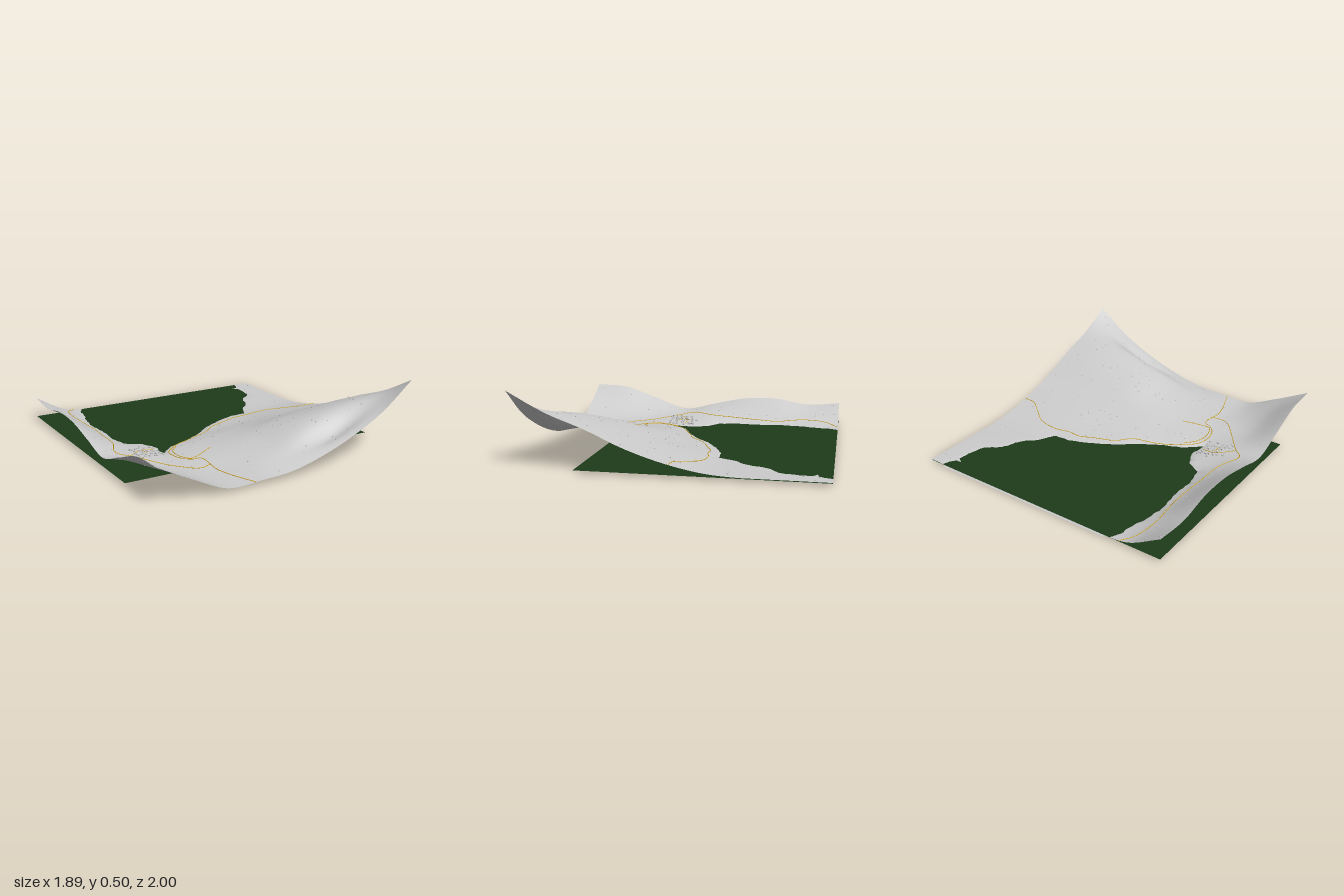
import * as THREE from 'three';
import { mergeGeometries } from 'three/addons/utils/BufferGeometryUtils.js';

const HALF_X = 0.943, WATER = 0.016;

// coarse land heights: rows run from z = -1 to 1, columns from -x to +x
const LAND = [
  [.16, .035, .02, .02, .02, .02, .02, .02, .02],
  [.14, .04, .02, .02, .02, .02, .02, .02, .02],
  [.18, .04, .02, .02, .02, .02, .02, .02, .02],
  [.175, .045, .02, .02, .02, .02, .025, .03, .035],
  [.125, .05, .03, .025, .035, .05, .07, .08, .085],
  [.075, .05, .035, .055, .09, .12, .14, .155, .165],
  [.155, .05, .035, .065, .125, .2, .24, .265, .275],
  [.24, .09, .03, .05, .11, .21, .285, .335, .37],
  [.255, .135, .033, .035, .05, .11, .2, .32, .5],
];

// shoreline of the lake as x, z pairs
const SHORE = [[-.57, -1.15], [-.58, -1], [-.62, -.92], [-.62, -.85], [-.66, -.72], [-.68, -.55], [-.66, -.4],
  [-.67, -.2], [-.64, -.07], [-.54, -.01], [-.49, .1], [-.51, .24], [-.45, .19], [-.4, .14], [-.25, .08],
  [-.1, 0], [0, -.09], [.2, -.2], [.33, -.25], [.45, -.25], [.52, -.38], [.6, -.45], [.66, -.6],
  [.76, -.67], [.79, -.8], [.79, -.88], [.73, -.92], [.8, -.91], [.84, -1], [.85, -1.15]];

// cubic interpolation along a row of evenly spaced values, t from 0 to 1
function cubic(v, t) {
  const n = v.length - 1, s = Math.min(Math.max(t, 0), 1) * n;
  const i = Math.min(Math.floor(s), n - 1), f = s - i;
  const b = v[i], c = v[i + 1];
  const a = i > 0 ? v[i - 1] : 2 * b - c;
  const d = i < n - 1 ? v[i + 2] : 2 * c - b;
  return b + 0.5 * f * (c - a + f * (2 * a - 5 * b + 4 * c - d + f * (3 * (b - c) + d - a)));
}

// distance to the shore, negative inside the lake
function shoreDistance(x, z) {
  let best = Infinity, inside = false;
  SHORE.forEach(([ax, az], i) => {
    const [bx, bz] = SHORE[(i + 1) % SHORE.length];
    const dx = bx - ax, dz = bz - az;
    const t = THREE.MathUtils.clamp(((x - ax) * dx + (z - az) * dz) / (dx * dx + dz * dz), 0, 1);
    best = Math.min(best, Math.hypot(x - ax - dx * t, z - az - dz * t));
    if ((az > z) !== (bz > z) && x < ax + (z - az) / dz * dx) inside = !inside;
  });
  return inside ? -best : best;
}

function heightAt(x, z) {
  const d = shoreDistance(x, z) + 0.004 * Math.sin(x * 47 + z * 23) * Math.sin(z * 61 - x * 19);
  if (d < 0) return WATER * (1 - Math.min(-d / 0.04, 1));
  const u = (x + HALF_X) / (2 * HALF_X), v = (z + 1) / 2;
  let land = cubic(LAND.map((row) => cubic(row, u)), v);
  // gully in front of the ridge
  land -= 0.055 * Math.exp(-(((x - 0.42) / 0.24) ** 2) - ((z - 0.87) / 0.07) ** 2);
  return WATER + (Math.max(land, 0.021) - WATER) * (1 - Math.exp(-d / 0.04));
}

// thin line laid over the ground through x, z pairs
function roadGeometry(points) {
  const flat = new THREE.CatmullRomCurve3(points.map(([x, z]) => new THREE.Vector3(x, 0, z)), false, 'centripetal');
  const draped = flat.getSpacedPoints(Math.ceil(flat.getLength() * 50));
  draped.forEach((p) => { p.y = heightAt(p.x, p.z) + 0.001; });
  return new THREE.TubeGeometry(new THREE.CatmullRomCurve3(draped), draped.length * 2, 0.0025, 5);
}

function seeded(seed) {
  return () => {
    seed = (seed * 16807) % 2147483647;
    return seed / 2147483647;
  };
}

export function createModel() {
  const group = new THREE.Group();
  const add = (name, geometry, color = 0xcccccc, side = THREE.FrontSide) => {
    const mesh = new THREE.Mesh(geometry, new THREE.MeshStandardMaterial({ color, side }));
    mesh.name = name;
    group.add(mesh);
  };

  // ground sheet with the lake bed pressed into it
  const ground = new THREE.PlaneGeometry(2 * HALF_X, 2, 180, 190).rotateX(-Math.PI / 2);
  const pos = ground.attributes.position;
  for (let i = 0; i < pos.count; i++) pos.setY(i, heightAt(pos.getX(i), pos.getZ(i)));
  ground.computeVertexNormals();
  add('terrain', ground, 0xcccccc, THREE.DoubleSide);

  // water sheet, ending under the front hills
  const water = new THREE.PlaneGeometry(2 * HALF_X, 1.58).rotateX(-Math.PI / 2).translate(0, WATER, -0.21);
  add('water', water, 0x1e3a1a, THREE.DoubleSide);

  // roads
  const roads = [
    [[-.65, -1], [-.72, -.92], [-.75, -.75], [-.72, -.5], [-.74, -.2], [-.76, 0], [-.82, .18], [-.74, .28],
      [-.5, .6], [-.44, .63], [-.36, .61]],
    [[.94, -.02], [.85, -.03], [.75, -.1], [.65, -.17], [.5, -.19], [.4, -.17], [.3, -.17], [.2, -.13], [.05, -.07],
      [-.05, .02], [-.2, .07], [-.38, .16], [-.48, .27], [-.48, .4], [-.42, .48], [-.37, .5], [-.37, .7],
      [-.34, .83], [-.28, 1]],
    [[-.24, .4], [-.36, .45], [-.42, .46], [-.46, .38], [-.45, .27], [-.38, .18]],
    [[-.75, .26], [-.64, .17], [-.54, .18]],
    [[-.625, .15], [-.625, .25]],
  ];
  add('roads', mergeGeometries(roads.map(roadGeometry)), 0xd4a514);

  // village houses and scattered huts
  const rand = seeded(7);
  const box = (x, z, size) => new THREE.BoxGeometry(size, size, size * 1.3)
    .rotateY(rand() * Math.PI).translate(x, heightAt(x, z) + size * 0.4, z);
  const houses = [], huts = [];
  while (houses.length < 45) {
    const x = -0.71 + rand() * 0.2, z = 0.1 + rand() * 0.22;
    if (shoreDistance(x, z) > 0.015) houses.push(box(x, z, 0.01));
  }
  while (huts.length < 130) {
    const x = (rand() * 2 - 1) * 0.92, z = (rand() * 2 - 1) * 0.97;
    if (shoreDistance(x, z) > 0.03) huts.push(box(x, z, 0.005));
  }
  add('villageHouses', mergeGeometries(houses));
  add('scatteredHuts', mergeGeometries(huts));

  return group;
}
